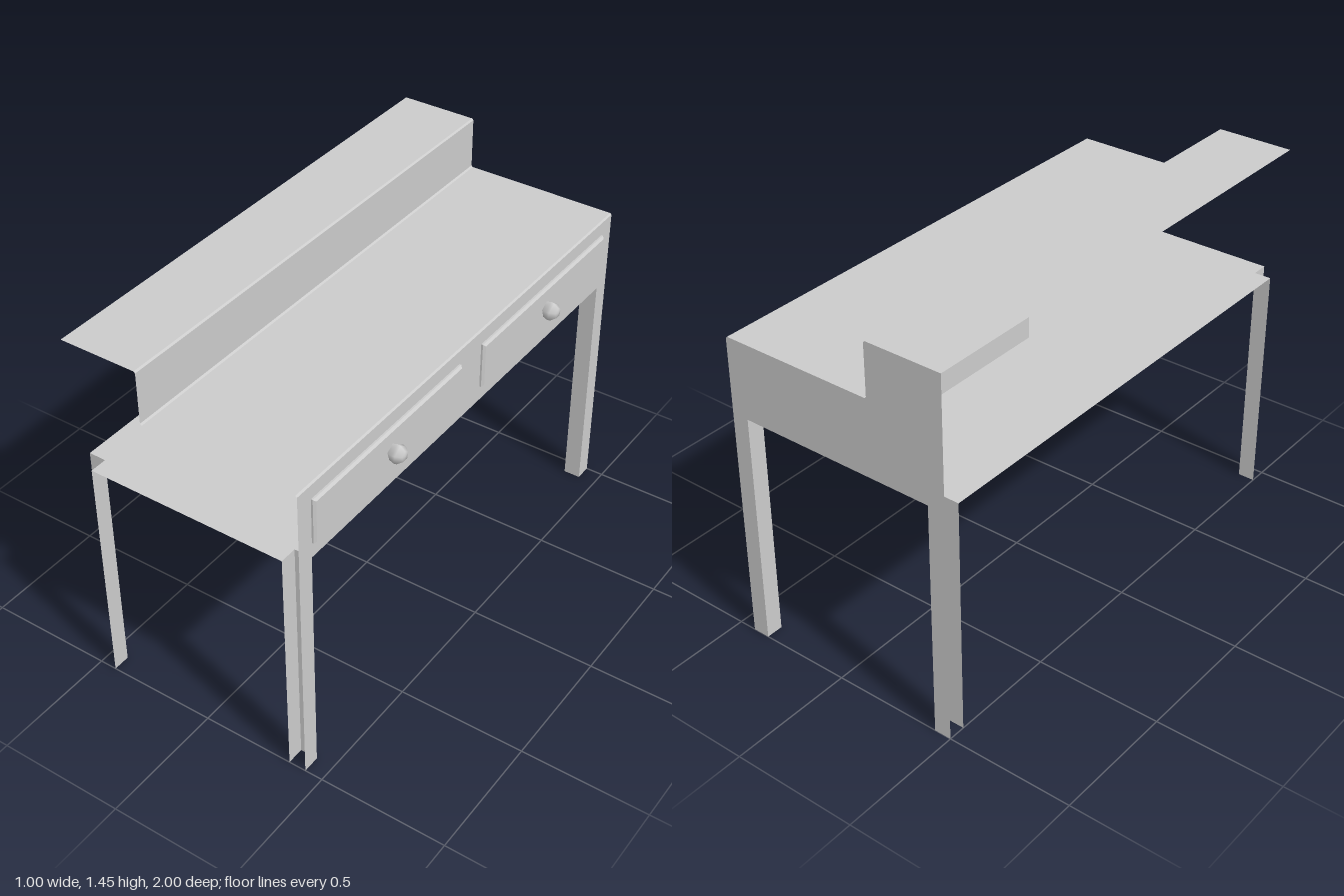
import * as THREE from 'three';

const material = new THREE.MeshStandardMaterial({ color: 0xcccccc, side: THREE.DoubleSide });

// Main dimensions
const back = -0.5, front = 0.43, riserX = -0.19, half = 1;
const apronY = 0.94, deskY = 1.24, shelfY = 1.45;
const legW = 0.068, bevel = 0.006;
const drawerW = 0.86, drawerY0 = 1.0, drawerY1 = 1.18, drawerBack = -0.11, drawerSeat = 0.42;

function add(parent, name, geometry) {
  const mesh = new THREE.Mesh(geometry, material);
  mesh.name = name;
  parent.add(mesh);
  return mesh;
}

const shapeOf = (points) => new THREE.Shape(points.map(([x, y]) => new THREE.Vector2(x, y)));

const rectPoints = (x0, y0, x1, y1) => [[x0, y0], [x1, y0], [x1, y1], [x0, y1]];

// Flat-shaded sheet: an x/y profile swept along the width of the desk
function sweepSheet(profile) {
  const positions = [];
  for (let i = 0; i < profile.length - 1; i++) {
    const [ax, ay] = profile[i], [bx, by] = profile[i + 1];
    positions.push(ax, ay, half, bx, by, half, bx, by, -half);
    positions.push(ax, ay, half, bx, by, -half, ax, ay, -half);
  }
  const geometry = new THREE.BufferGeometry();
  geometry.setAttribute('position', new THREE.Float32BufferAttribute(positions, 3));
  geometry.computeVertexNormals();
  return geometry;
}

function buildCarcass(group) {
  // Stepped top: rear shelf, riser and desk surface with slim bevels
  add(group, 'steppedTop', sweepSheet([
    [back, shelfY], [riserX - bevel, shelfY], [riserX, shelfY - bevel],
    [riserX, deskY + bevel], [riserX + bevel, deskY],
    [front - bevel, deskY], [front, deskY - bevel],
  ]));

  // Front face: apron, leg fronts and drawer openings in one sheet
  const inner = half - legW;
  const face = shapeOf([
    [-half, 0], [-inner, 0], [-inner, apronY], [inner, apronY], [inner, 0], [half, 0],
    [half, deskY - bevel], [-half, deskY - bevel],
  ]);
  for (const s of [-0.5, 0.5]) {
    face.holes.push(shapeOf(rectPoints(s - drawerW / 2, drawerY0, s + drawerW / 2, drawerY1)));
  }
  add(group, 'frontFace', new THREE.ShapeGeometry(face).rotateY(Math.PI / 2).translate(front, 0, 0));

  // Closed end panel with its leg faces; the other end and the back stay open
  const end = shapeOf([
    [back, 0], [back + legW, 0], [back + legW, apronY], [front - legW, apronY],
    [front - legW, 0], [front, 0], [front, deskY - bevel], [front - bevel, deskY],
    [riserX + bevel, deskY], [riserX, deskY + bevel], [riserX, shelfY - bevel],
    [riserX - bevel, shelfY], [back, shelfY],
  ]);
  // Mirror in depth so the sheet faces outward
  const endGeometry = new THREE.ShapeGeometry(end);
  endGeometry.scale(-1, 1, 1).rotateY(Math.PI).translate(0, 0, -half);
  const index = endGeometry.index.array;
  for (let i = 0; i < index.length; i += 3) [index[i], index[i + 1]] = [index[i + 1], index[i]];
  add(group, 'endPanel', endGeometry);

  // Underside, notched at the legs
  const x0 = back + legW, x1 = front - legW;
  add(group, 'underside', new THREE.ShapeGeometry(shapeOf([
    [x0, -half], [x1, -half], [x1, -inner], [front, -inner], [front, inner], [x1, inner],
    [x1, half], [x0, half], [x0, inner], [back, inner], [back, -inner], [x0, -inner],
  ])).rotateX(Math.PI / 2).translate(0, apronY, 0));
}

// Inner faces of the hollow legs
function buildLegs(group) {
  for (const [outerX, sx, label] of [[front, 1, 'front'], [back, -1, 'back']]) {
    for (const sz of [1, -1]) {
      const leg = new THREE.Group();
      leg.name = `${label}Leg`;
      const cx = outerX - sx * legW / 2, cz = sz * (half - legW / 2);
      add(leg, 'legInnerSide', new THREE.PlaneGeometry(legW, apronY)
        .rotateY(sz > 0 ? Math.PI : 0).translate(cx, apronY / 2, sz * (half - legW)));
      add(leg, 'legInnerFace', new THREE.PlaneGeometry(legW, apronY)
        .rotateY(-sx * Math.PI / 2).translate(outerX - sx * legW, apronY / 2, cz));
      group.add(leg);
    }
  }
}

function buildDrawer(z, hasBox) {
  const drawer = new THREE.Group();
  drawer.name = 'drawer';
  const height = drawerY1 - drawerY0, midY = (drawerY0 + drawerY1) / 2, b = 0.008;

  // Chamfered front
  const outline = shapeOf(rectPoints(-drawerW / 2 + b, -height / 2 + b, drawerW / 2 - b, height / 2 - b));
  add(drawer, 'drawerFront', new THREE.ExtrudeGeometry(outline, {
    depth: 0.009, bevelEnabled: true, bevelSize: b, bevelThickness: b, bevelSegments: 1,
  }).rotateY(Math.PI / 2).translate(drawerSeat + b, midY, 0));

  // Five-sided knob
  const profile = [[0.03, 0], [0.037, 0.022], [0.035, 0.034], [0.02, 0.053], [0, 0.055]];
  add(drawer, 'knob', new THREE.LatheGeometry(
    profile.map(([r, h]) => new THREE.Vector2(r, h)), 5, -Math.PI / 2)
    .rotateZ(-Math.PI / 2).translate(0.442, midY + 0.003, 0));

  // Drawer body
  if (hasBox) {
    const depth = drawerSeat - drawerBack;
    add(drawer, 'drawerBox', new THREE.BoxGeometry(depth, height, drawerW)
      .translate(drawerBack + depth / 2, midY, 0));
  }
  drawer.position.z = z;
  return drawer;
}

export function createModel() {
  const desk = new THREE.Group();
  desk.name = 'desk';
  buildCarcass(desk);
  buildLegs(desk);
  desk.add(buildDrawer(-0.5, true), buildDrawer(0.5, false));
  return desk;
}
